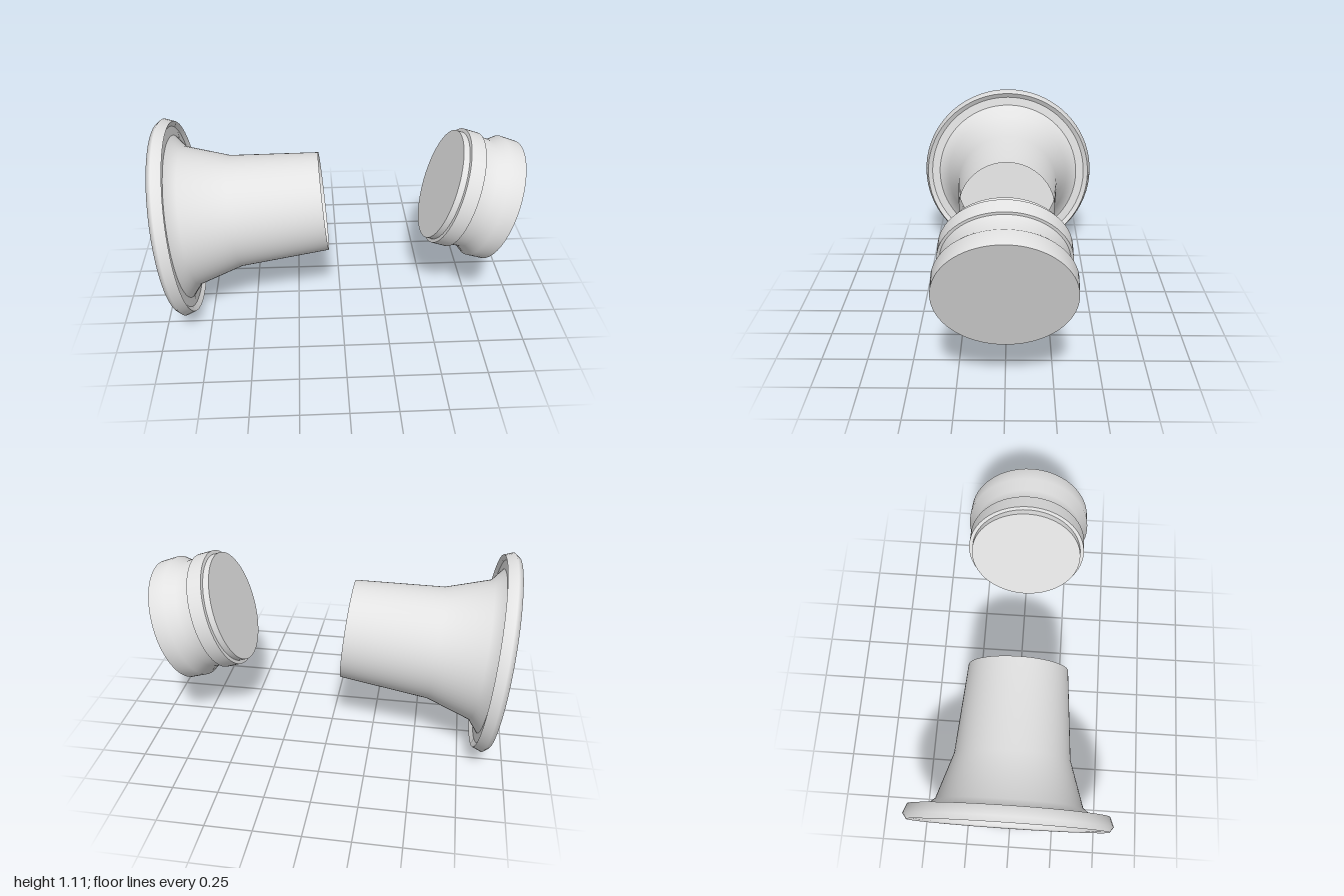
import * as THREE from 'three';

const grey = new THREE.MeshStandardMaterial({ color: 0xe2e2e2, side: THREE.DoubleSide });
grey.name = 'plainGrey';

// Each strip is a list of [distance along axis, radius]; strips meet at sharp edges.
function turnedPart(name, strips, x, y, tilt) {
  const group = new THREE.Group();
  group.name = name;
  for (const [stripName, points] of Object.entries(strips)) {
    const profile = points.map(([s, r]) => new THREE.Vector2(r, s));
    const mesh = new THREE.Mesh(new THREE.LatheGeometry(profile, 72), grey);
    mesh.name = stripName;
    group.add(mesh);
  }
  group.position.set(x, y, 0);
  group.rotation.z = THREE.MathUtils.degToRad(tilt - 90);
  return group;
}

export function createModel() {
  const model = new THREE.Group();
  model.name = 'flaredTubeAndPlug';

  // Flared tube, closed by a recessed disc at the wide end and open at the narrow end
  model.add(turnedPart('flaredTube', {
    backDisc: [[0.064, 0], [0.064, 0.457]],
    roundedRim: [[0.064, 0.457], [0.03, 0.478], [0.008, 0.505], [0, 0.536], [0.028, 0.557], [0.079, 0.538]],
    rimLip: [[0.079, 0.538], [0.061, 0.511]],
    rimFront: [[0.061, 0.511], [0.064, 0.46]],
    tubeWall: [[0.064, 0.46], [0.117, 0.394], [0.364, 0.315], [0.859, 0.277]],
  }, -0.948, 0.5565, 5.6));

  // Separate plug with a raised band, a waist and a wide head
  model.add(turnedPart('plug', {
    innerFace: [[0, 0], [0, 0.312]],
    neck: [[0, 0.312], [0.035, 0.312]],
    bandStep: [[0.035, 0.312], [0.037, 0.332]],
    band: [[0.037, 0.332], [0.122, 0.332]],
    waistStep: [[0.122, 0.332], [0.124, 0.318]],
    waistAndHead: [[0.124, 0.318], [0.202, 0.312], [0.254, 0.35], [0.348, 0.347]],
    outerFace: [[0.348, 0.347], [0.348, 0]],
  }, 0.561, 0.7345, -18.5));

  return model;
}
